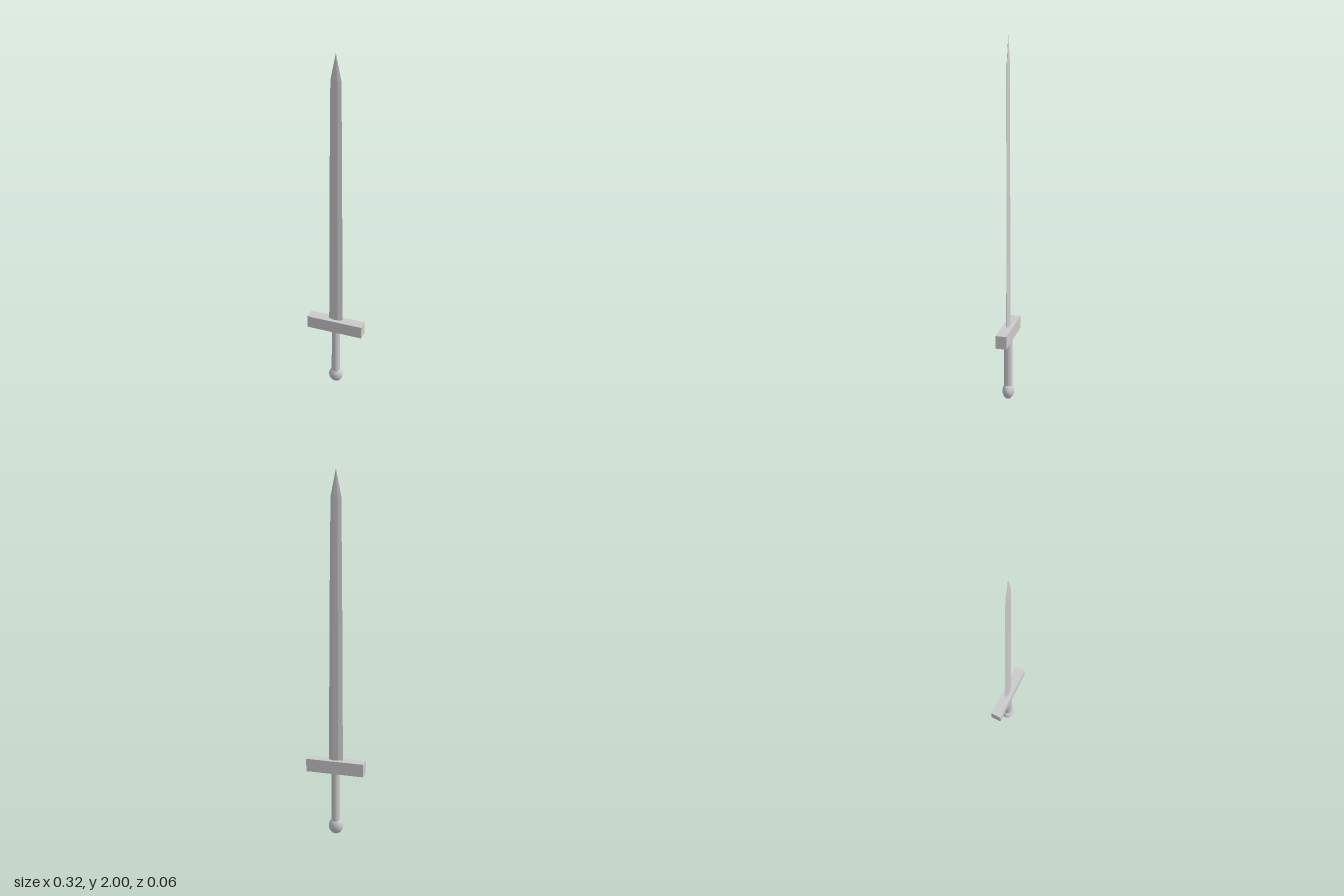
import * as THREE from 'three';

const material = new THREE.MeshStandardMaterial({ color: 0xcccccc });
const flatMaterial = new THREE.MeshStandardMaterial({ color: 0xcccccc, flatShading: true });

// Blade: hexagonal cross-sections lofted up to a point
function bladeGeometry() {
  // y, half width, half thickness, half width of the central flat
  const sections = [
    [0.40, 0.040, 0.0085, 0.014],
    [1.38, 0.034, 0.0070, 0.012],
    [1.86, 0.029, 0.0060, 0.010],
    [2.00, 0.0005, 0.0005, 0.0002],
  ];
  const positions = [];
  const index = [];
  for (const [y, w, t, f] of sections) {
    for (const [x, z] of [[w, 0], [f, t], [-f, t], [-w, 0], [-f, -t], [f, -t]]) {
      positions.push(x, y, z);
    }
  }
  for (let s = 0; s < sections.length - 1; s++) {
    for (let i = 0; i < 6; i++) {
      const a = s * 6 + i;
      const b = s * 6 + (i + 1) % 6;
      index.push(a, a + 6, b, b, a + 6, b + 6);
    }
  }
  // End caps
  const top = (sections.length - 1) * 6;
  for (let i = 1; i < 5; i++) {
    index.push(0, i, i + 1, top, top + i + 1, top + i);
  }
  const geometry = new THREE.BufferGeometry();
  geometry.setAttribute('position', new THREE.Float32BufferAttribute(positions, 3));
  geometry.setIndex(index);
  geometry.computeVertexNormals();
  return geometry;
}

export function createModel() {
  const sword = new THREE.Group();
  sword.name = 'sword';

  function add(name, geometry, y, mat = material) {
    const mesh = new THREE.Mesh(geometry, mat);
    mesh.name = name;
    mesh.position.set(0, y, -0.001);
    sword.add(mesh);
    return mesh;
  }

  add('blade', bladeGeometry(), 0, flatMaterial);
  add('crossguard', new THREE.BoxGeometry(0.322, 0.072, 0.059), 0.398);
  add('grip', new THREE.CylinderGeometry(0.023, 0.024, 0.30, 16), 0.23);

  // Pommel: a slightly flattened ball
  const pommel = add('pommel', new THREE.SphereGeometry(1, 32, 20), 0.048);
  pommel.scale.set(0.040, 0.046, 0.032);

  return sword;
}
